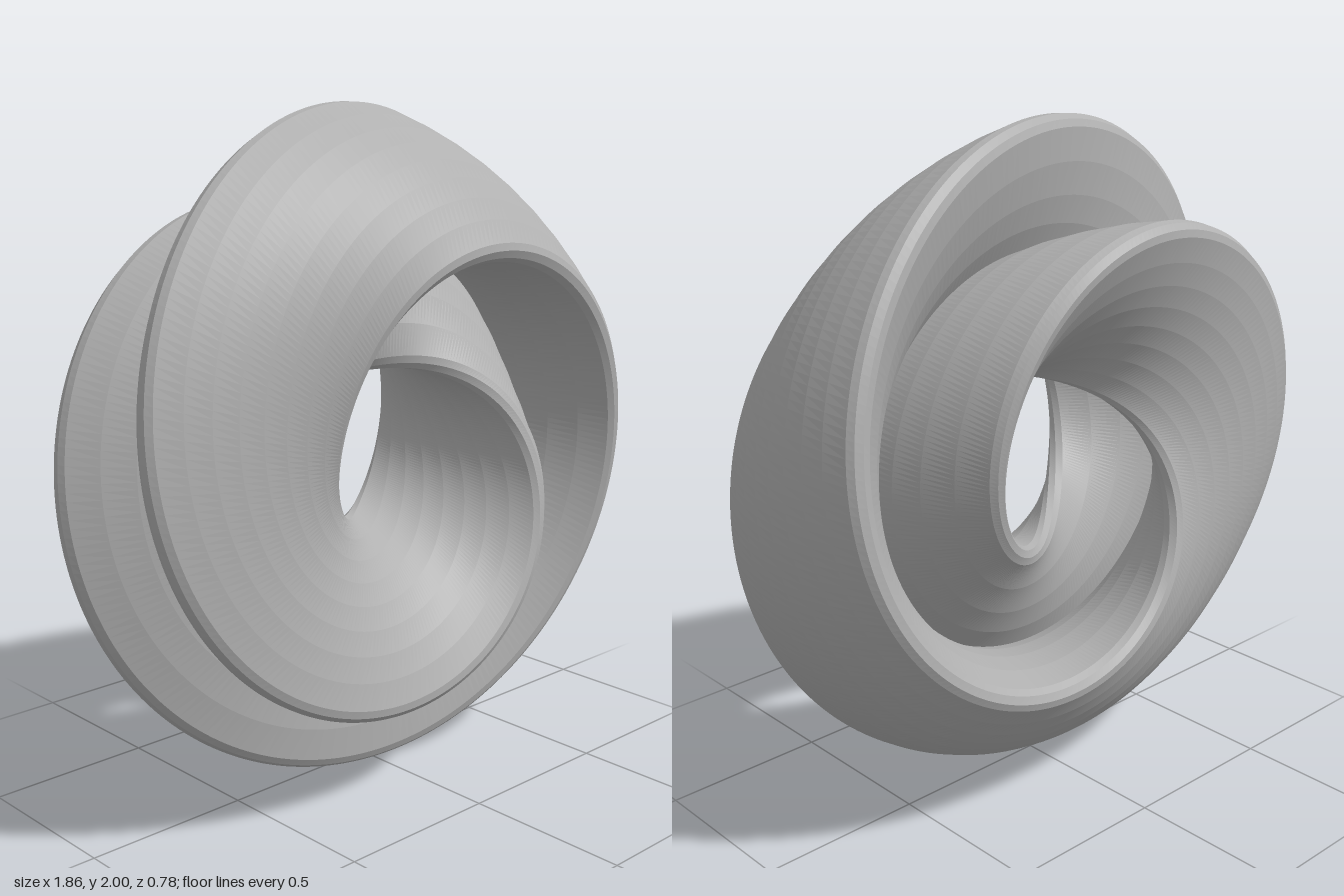
import * as THREE from 'three';

const RING = 0.615;   // radius of the ring's centre line
const STEPS = 240;    // segments around the ring

// Hourglass cross-section: two domed lobes that meet at a narrow waist
function makeProfile() {
  const wall = [[0.08, 0.026], [0.155, 0.066], [0.235, 0.121], [0.307, 0.185]];
  const lip = [[0.316, 0.207], [0.312, 0.232], [0.295, 0.248]];
  const flank = [...wall, ...lip];
  const dome = [];
  for (let i = 1; i < 8; i++) {
    const s = 1 - i / 4;
    dome.push([0.295 * s, 0.248 + 0.062 * (1 - s * s)]);
  }
  const mirrored = flank.map(([u, v]) => [-u, v]).reverse();
  const half = [[0.01, 0], ...flank, ...dome, ...mirrored];
  return [...half, ...half.map(([u, v]) => [-u, -v])];
}

// Sweep the cross-section round the ring while it makes half a turn
function twistedRing() {
  const profile = makeProfile();
  const n = profile.length;
  const point = (i, j) => {
    const theta = (i / STEPS) * Math.PI * 2;
    const a = (theta - Math.PI) / 2;
    const [u, v] = profile[j % n];
    const r = RING + u * Math.cos(a) - v * Math.sin(a);
    const z = u * Math.sin(a) + v * Math.cos(a);
    return [r * Math.cos(theta), 1 + r * Math.sin(theta), z];
  };
  const positions = [];
  for (let i = 0; i < STEPS; i++) {
    for (let j = 0; j < n; j++) {
      const a = point(i, j), b = point(i + 1, j);
      const c = point(i + 1, j + 1), d = point(i, j + 1);
      positions.push(...a, ...b, ...c, ...a, ...c, ...d);
    }
  }
  const geometry = new THREE.BufferGeometry();
  geometry.setAttribute('position', new THREE.Float32BufferAttribute(positions, 3));
  geometry.computeVertexNormals();
  return geometry;
}

export function createModel() {
  const grey = new THREE.MeshStandardMaterial({ color: 0xb0b0b0, flatShading: true });
  grey.name = 'grey';

  const ring = new THREE.Mesh(twistedRing(), grey);
  ring.name = 'twistedRing';

  const model = new THREE.Group();
  model.name = 'twistedRingSculpture';
  model.add(ring);
  return model;
}
